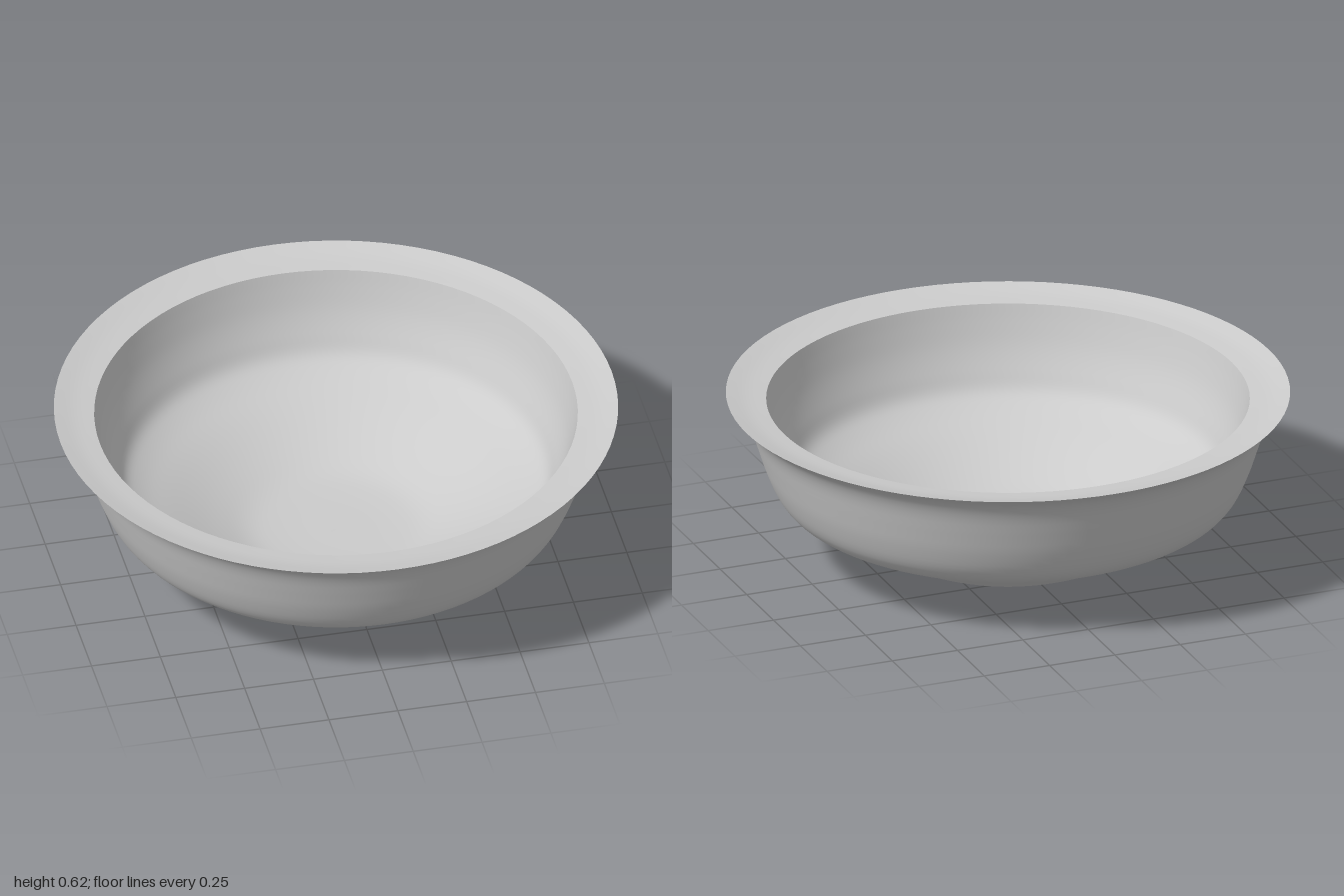
import * as THREE from 'three';

const material = new THREE.MeshStandardMaterial({ color: 0xcccccc, side: THREE.DoubleSide });

// Smooth surface of revolution through a few [radius, height] points
function turned(name, profile, steps) {
  const curve = new THREE.CatmullRomCurve3(profile.map(([r, y]) => new THREE.Vector3(r, y, 0)), false, 'centripetal');
  const points = curve.getPoints(steps).map((p) => new THREE.Vector2(Math.max(p.x, 0), Math.max(p.y, 0)));
  const mesh = new THREE.Mesh(new THREE.LatheGeometry(points, 96), material);
  mesh.name = name;
  return mesh;
}

export function createModel() {
  const bowl = new THREE.Group();
  bowl.name = 'bowl';

  // Outside: flat base, shallow cone, rounded shoulder, steep flared wall
  bowl.add(turned('outerShell', [
    [0, 0], [0.2, 0], [0.28, 0.007], [0.35, 0.02], [0.42, 0.048], [0.5, 0.087],
    [0.6, 0.137], [0.7, 0.18], [0.78, 0.222], [0.82, 0.265], [0.86, 0.35],
    [0.89, 0.44], [0.92, 0.53], [0.95, 0.58], [1, 0.62],
  ], 56));

  // Rim: wide band dipping slightly towards the opening
  bowl.add(turned('rim', [[1, 0.62], [0.93, 0.604], [0.857, 0.595]], 8));

  // Inside: follows the outside at the wall thickness
  bowl.add(turned('innerShell', [
    [0.857, 0.595], [0.84, 0.53], [0.815, 0.45], [0.78, 0.37], [0.745, 0.305],
    [0.69, 0.265], [0.58, 0.212], [0.42, 0.138], [0.31, 0.1], [0.2, 0.088], [0, 0.085],
  ], 48));

  return bowl;
}
